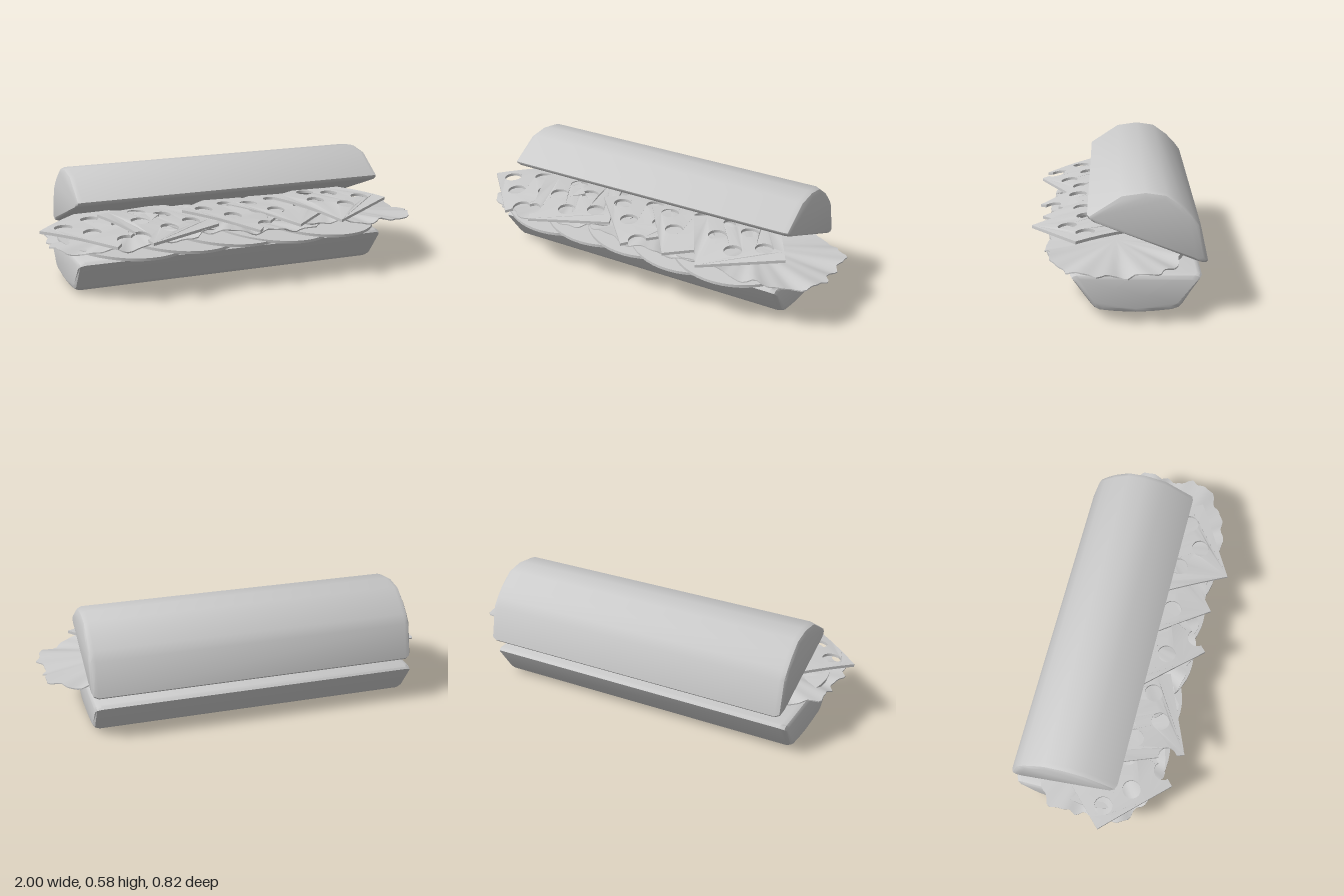
import * as THREE from 'three';
import { toCreasedNormals } from 'three/addons/utils/BufferGeometryUtils.js';

const material = new THREE.MeshStandardMaterial({ color: 0xcccccc, side: THREE.DoubleSide });

function addMesh(group, name, geometry, crease) {
  const mesh = new THREE.Mesh(toCreasedNormals(geometry, crease), material);
  mesh.name = name;
  group.add(mesh);
}

// Moves every vertex by a rule
function reshape(geometry, rule) {
  const p = geometry.attributes.position;
  const v = new THREE.Vector3();
  for (let i = 0; i < p.count; i++) {
    rule(v.fromBufferAttribute(p, i));
    p.setXYZ(i, v.x, v.y, v.z);
  }
  return geometry;
}

// Half loaf: a [z, y] profile run along x, drawn in at both ends for soft rims
function bun(profile, x0, x1) {
  const shape = new THREE.Shape(profile.map(([z, y]) => new THREE.Vector2(-z, y)));
  const box = new THREE.Box2().setFromPoints(shape.getPoints());
  const c = box.getCenter(new THREE.Vector2());
  const half = box.getSize(new THREE.Vector2()).multiplyScalar(0.5);
  const along = [x0, x0 + 0.008, x0 + 0.03, x1 - 0.03, x1 - 0.008, x1];
  const inset = [0.026, 0.009, 0, 0, 0.009, 0.026];
  const g = new THREE.ExtrudeGeometry(shape, { depth: 5, steps: 5, bevelEnabled: false });
  reshape(g, (v) => {
    const i = Math.round(v.z);
    v.x -= ((v.x - c.x) / half.x) * inset[i];
    v.y -= ((v.y - c.y) / half.y) * inset[i];
    v.z = along[i];
  });
  return g.rotateY(Math.PI / 2);
}

// Thin round slab with an outline radius(angle) and a surface height(x, z)
function slab(cx, thickness, segments, radius, height) {
  const t = thickness / 2;
  const rings = [0.001, 0.25, 0.5, 0.7, 0.85, 1];
  const profile = [
    ...rings.map((r) => new THREE.Vector2(r, -t)),
    ...rings.slice().reverse().map((r) => new THREE.Vector2(r, t)),
  ];
  return reshape(new THREE.LatheGeometry(profile, segments), (v) => {
    const [rx, rz] = radius(Math.atan2(v.z, v.x));
    const edge = Math.hypot(v.x, v.z);
    v.x *= rx;
    v.z *= rz;
    v.y += height(v.x, v.z, edge);
    v.x += cx;
  });
}

// Square cheese slice with round holes and an optional bite beside its front corner
function cheese(cx, cz, angle, y, tilt, bite, holes) {
  const h = 0.212, r = 0.045, n = 6;
  const s = new THREE.Shape();
  s.moveTo(-h, -h);
  for (let i = 1; i <= n; i++) s.lineTo(-h + (2 * h * i) / n, -h);
  if (bite === 'right') s.absarc(h, h - 0.085, r, -Math.PI / 2, Math.PI / 2, true);
  s.lineTo(h, h);
  if (bite === 'left') s.absarc(h - 0.085, h, r, 0, Math.PI, true);
  for (let i = 2; i <= n; i++) s.lineTo(h - (2 * h * i) / n, h);
  for (let i = 1; i < n; i++) s.lineTo(-h, h - (2 * h * i) / n);
  for (const [a, b] of holes) {
    s.holes.push(new THREE.Path().absarc(a, b, r, 0, Math.PI * 2, true));
  }
  const g = new THREE.ExtrudeGeometry(s, { depth: 0.014, bevelEnabled: false, curveSegments: 10 });
  g.rotateX(Math.PI / 2).rotateY(-angle).translate(cx, y, cz);
  return reshape(g, (v) => { v.y += tilt * (v.x - cx) - 0.3 * v.z * v.z; });
}

export function createModel() {
  const model = new THREE.Group();
  model.name = 'sandwich';

  // Bread
  addMesh(model, 'bottomBun', bun([
    [0.21, 0.18], [0.202, 0.189], [0.185, 0.194], [-0.365, 0.194], [-0.382, 0.189], [-0.39, 0.18],
    [-0.30, 0.04], [-0.285, 0.026], [-0.255, 0.015], [-0.17, 0.006], [-0.09, 0.002],
    [0, 0.006], [0.075, 0.014], [0.1, 0.027], [0.115, 0.044],
  ], -0.845, 0.785), 0.7);
  addMesh(model, 'topBun', bun([
    [0.13, 0.468], [0.126, 0.456], [0.11, 0.443], [-0.36, 0.256], [-0.385, 0.247], [-0.408, 0.247],
    [-0.415, 0.255], [-0.378, 0.425], [-0.345, 0.468], [-0.30, 0.515], [-0.225, 0.569],
    [-0.13, 0.583], [-0.02, 0.567],
  ], -0.825, 0.8), 0.7);

  // Overlapping meat slices, each leaning on the next
  const meat = new THREE.Group();
  meat.name = 'meatSlices';
  [-0.56, -0.3, -0.04, 0.22, 0.47].forEach((cx, i) => {
    const lean = -0.075 - 0.01 * (i % 2);
    addMesh(meat, 'meatSlice', slab(cx, 0.014, 48, () => [0.33, 0.33],
      (x, z) => 0.232 + 0.006 * (i % 3) + lean * x - 0.15 * z * z), 0.6);
  });
  model.add(meat);

  // Ruffled lettuce leaves
  const lettuce = new THREE.Group();
  lettuce.name = 'lettuce';
  const leaves = [
    { x: -0.52, y: 0.278, tilt: 0.07, rx: 0.42, seed: 1 },
    { x: 0.02, y: 0.29, tilt: -0.08, rx: 0.45, seed: 3 },
    { x: 0.55, y: 0.283, tilt: -0.08, rx: 0.43, seed: 5 },
  ];
  for (const leaf of leaves) {
    const ragged = (a) => 1 + 0.03 * Math.sin(7 * a + leaf.seed)
      + 0.022 * Math.sin(17 * a + 2 * leaf.seed) + 0.014 * Math.sin(31 * a);
    const outline = (a) => {
      const square = 1 / Math.pow(Math.abs(Math.cos(a)) ** 3 + Math.abs(Math.sin(a)) ** 3, 1 / 3);
      return [leaf.rx * square * ragged(a), 0.315 * square * ragged(a)];
    };
    addMesh(lettuce, 'lettuceLeaf', slab(leaf.x, 0.006, 120, outline, (x, z, edge) => {
      const a = Math.atan2(z, x);
      return leaf.y + leaf.tilt * x
        + edge * edge * (0.01 * Math.sin(9 * a + leaf.seed) + 0.005 * Math.sin(19 * a));
    }), 0.9);
  }
  model.add(lettuce);

  // Cheese on top of the filling
  const slices = new THREE.Group();
  slices.name = 'cheeseSlices';
  const diamondHoles = [[0.03, 0.13], [0.1, -0.02], [-0.08, -0.03], [-0.13, 0.13], [0.0, -0.14]];
  const turnedHoles = [[0.12, 0.03], [0.11, -0.12], [-0.02, 0.1], [-0.04, -0.06], [-0.14, 0.02]];
  addMesh(slices, 'cheeseSlice', cheese(-0.7, 0.08, Math.PI / 4, 0.351, 0.04, 'right', diamondHoles), 0.6);
  addMesh(slices, 'cheeseSlice', cheese(-0.42, 0.125, 1.17, 0.358, -0.05, 'left', turnedHoles), 0.6);
  addMesh(slices, 'cheeseSlice', cheese(0.02, 0.08, Math.PI / 4, 0.357, -0.05, 'right', diamondHoles), 0.6);
  addMesh(slices, 'cheeseSlice', cheese(0.28, 0.06, 0.9, 0.352, -0.04, '', diamondHoles), 0.6);
  addMesh(slices, 'cheeseSlice', cheese(0.525, 0.108, 1.03, 0.374, -0.02, '', turnedHoles), 0.6);
  model.add(slices);

  return model;
}
